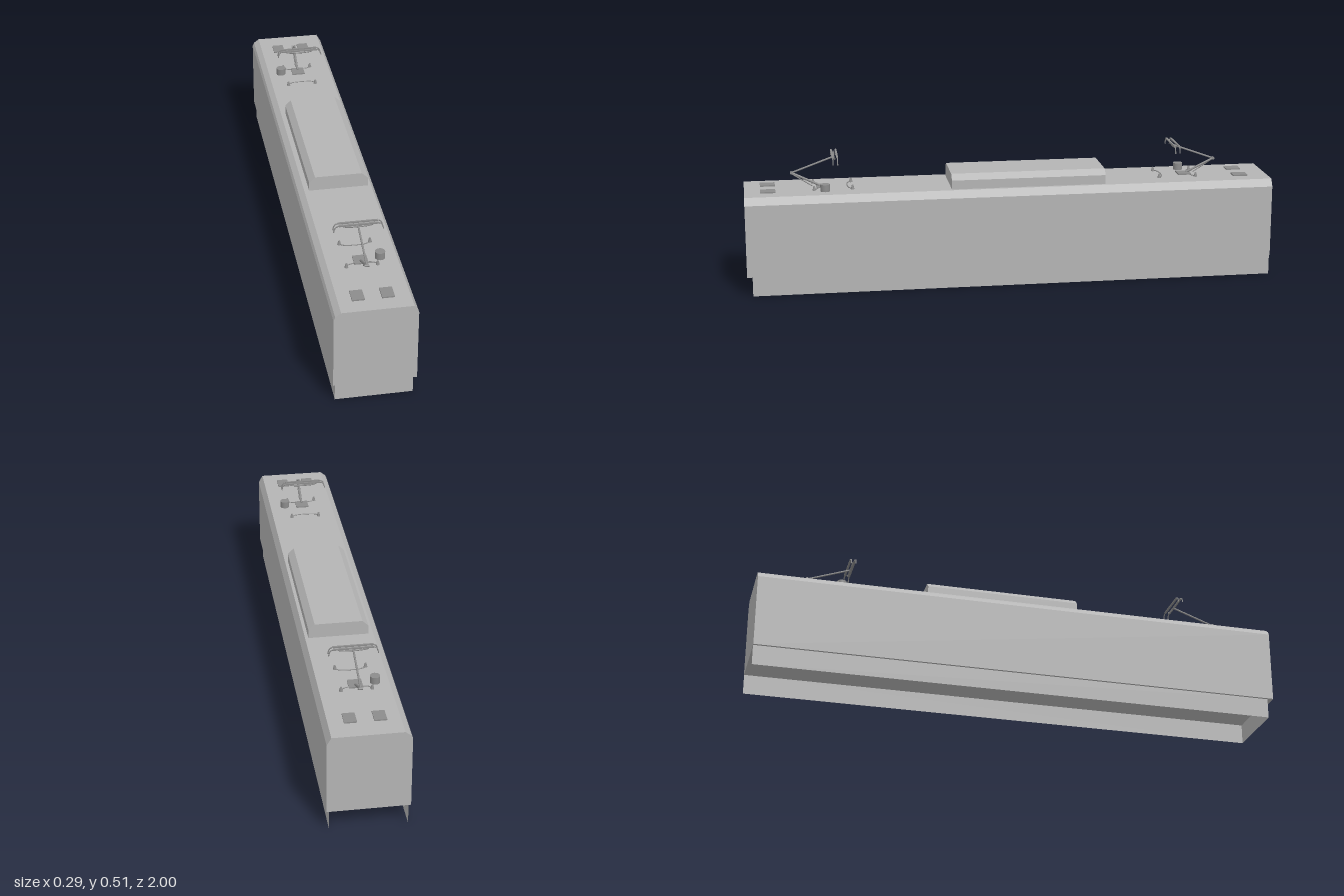
import * as THREE from 'three';

export function createModel() {
  const model = new THREE.Group();
  const bodyGrey = new THREE.MeshStandardMaterial({ color: 0xb4b4b4, side: THREE.DoubleSide });
  bodyGrey.name = 'bodyGrey';
  const equipmentGrey = new THREE.MeshStandardMaterial({ color: 0x8c8c8c });
  equipmentGrey.name = 'equipmentGrey';

  const add = (parent, name, geometry, material, x = 0, y = 0, z = 0) => {
    const mesh = new THREE.Mesh(geometry, material);
    mesh.name = name;
    mesh.position.set(x, y, z);
    parent.add(mesh);
    return mesh;
  };

  // Sweep a cross-section (x, y) along z
  const prism = (points, z0, z1) => {
    const shape = new THREE.Shape(points.map(([x, y]) => new THREE.Vector2(x, y)));
    return new THREE.ExtrudeGeometry(shape, { depth: z1 - z0, bevelEnabled: false }).translate(0, 0, z0);
  };

  // Car body with bevelled roof edges
  add(model, 'carBody', prism([
    [-0.146, 0.076], [0.146, 0.076], [0.146, 0.35], [0.13, 0.378],
    [-0.12, 0.378], [-0.14, 0.363], [-0.146, 0.35],
  ], -1, 1), bodyGrey);

  // Skirt: two sides and a front wall, open at the back and below
  for (const side of [-1, 1]) {
    const panel = new THREE.PlaneGeometry(1.98, 0.076).rotateY(side * Math.PI / 2);
    add(model, side > 0 ? 'leftSkirt' : 'rightSkirt', panel, bodyGrey, side * 0.137, 0.038, -0.01);
  }
  add(model, 'frontSkirt', new THREE.PlaneGeometry(0.274, 0.076), bodyGrey, 0, 0.038, 0.98);

  // Roof pod
  add(model, 'roofPod', prism([
    [-0.102, 0.377], [0.118, 0.377], [0.118, 0.412], [0.095, 0.433],
    [-0.08, 0.433], [-0.102, 0.412],
  ], -0.355, 0.23), bodyGrey);

  // Roof hatches
  for (const z of [-0.893, 0.912]) {
    for (const x of [-0.05, 0.053]) {
      add(model, 'roofHatch', new THREE.BoxGeometry(0.044, 0.006, 0.056), equipmentGrey, x, 0.38, z);
    }
  }

  const rod = (parent, name, a, b, radius) => {
    const from = new THREE.Vector3(...a), to = new THREE.Vector3(...b);
    const mesh = add(parent, name, new THREE.CylinderGeometry(radius, radius, from.distanceTo(to), 8), equipmentGrey);
    mesh.position.copy(from).add(to).multiplyScalar(0.5);
    mesh.quaternion.setFromUnitVectors(new THREE.Vector3(0, 1, 0), to.sub(from).normalize());
  };
  const tube = (parent, name, points, radius) => {
    const curve = new THREE.CatmullRomCurve3(points.map((p) => new THREE.Vector3(...p)), false, 'centripetal');
    add(parent, name, new THREE.TubeGeometry(curve, 28, radius, 6), equipmentGrey);
  };

  const createPantograph = (name) => {
    const group = new THREE.Group();
    group.name = name;

    // Base plate and drive drum
    add(group, 'basePlate', new THREE.BoxGeometry(0.05, 0.005, 0.05), equipmentGrey, 0, 0.3805, 0.705);
    add(group, 'driveDrum', new THREE.CylinderGeometry(0.018, 0.018, 0.027, 16), equipmentGrey, 0.071, 0.391, 0.7);

    // Curved base rails ending in cone insulators
    for (const [z, end] of [[0.613, 0.597], [0.724, 0.74]]) {
      tube(group, 'baseRail', [[-0.056, 0.381, end], [-0.044, 0.381, z - (z - end) * 0.3],
        [-0.025, 0.381, z], [0.025, 0.381, z],
        [0.044, 0.381, z - (z - end) * 0.3], [0.056, 0.381, end]], 0.002);
      for (const x of [-0.055, 0.055]) {
        add(group, 'insulator', new THREE.CylinderGeometry(0.003, 0.007, 0.016, 10), equipmentGrey, x, 0.386, end);
      }
    }

    // Folding arm
    rod(group, 'lowerArm', [0, 0.383, 0.715], [0, 0.435, 0.822], 0.0045);
    rod(group, 'couplingRod', [0.004, 0.383, 0.745], [0.004, 0.43, 0.818], 0.002);
    rod(group, 'upperArm', [0, 0.435, 0.822], [0, 0.493, 0.662], 0.0035);
    rod(group, 'kneeJoint', [-0.008, 0.435, 0.822], [0.008, 0.435, 0.822], 0.005);

    // Collector head: two strips with drooping horns and a cross bar
    for (const z of [0.652, 0.669]) {
      add(group, 'collectorStrip', new THREE.BoxGeometry(0.14, 0.005, 0.007), equipmentGrey, 0, 0.503, z);
      for (const s of [-1, 1]) {
        tube(group, 'horn', [[s * 0.066, 0.503, z], [s * 0.076, 0.501, z],
          [s * 0.083, 0.495, z], [s * 0.088, 0.478, z]], 0.0022);
      }
    }
    tube(group, 'headBar', [[-0.058, 0.501, 0.661], [-0.05, 0.493, 0.661],
      [0.05, 0.493, 0.661], [0.058, 0.501, 0.661]], 0.0025);

    model.add(group);
    return group;
  };

  createPantograph('frontPantograph');
  const rear = createPantograph('rearPantograph');
  rear.rotation.y = Math.PI;
  rear.position.z = 0.02;

  return model;
}
